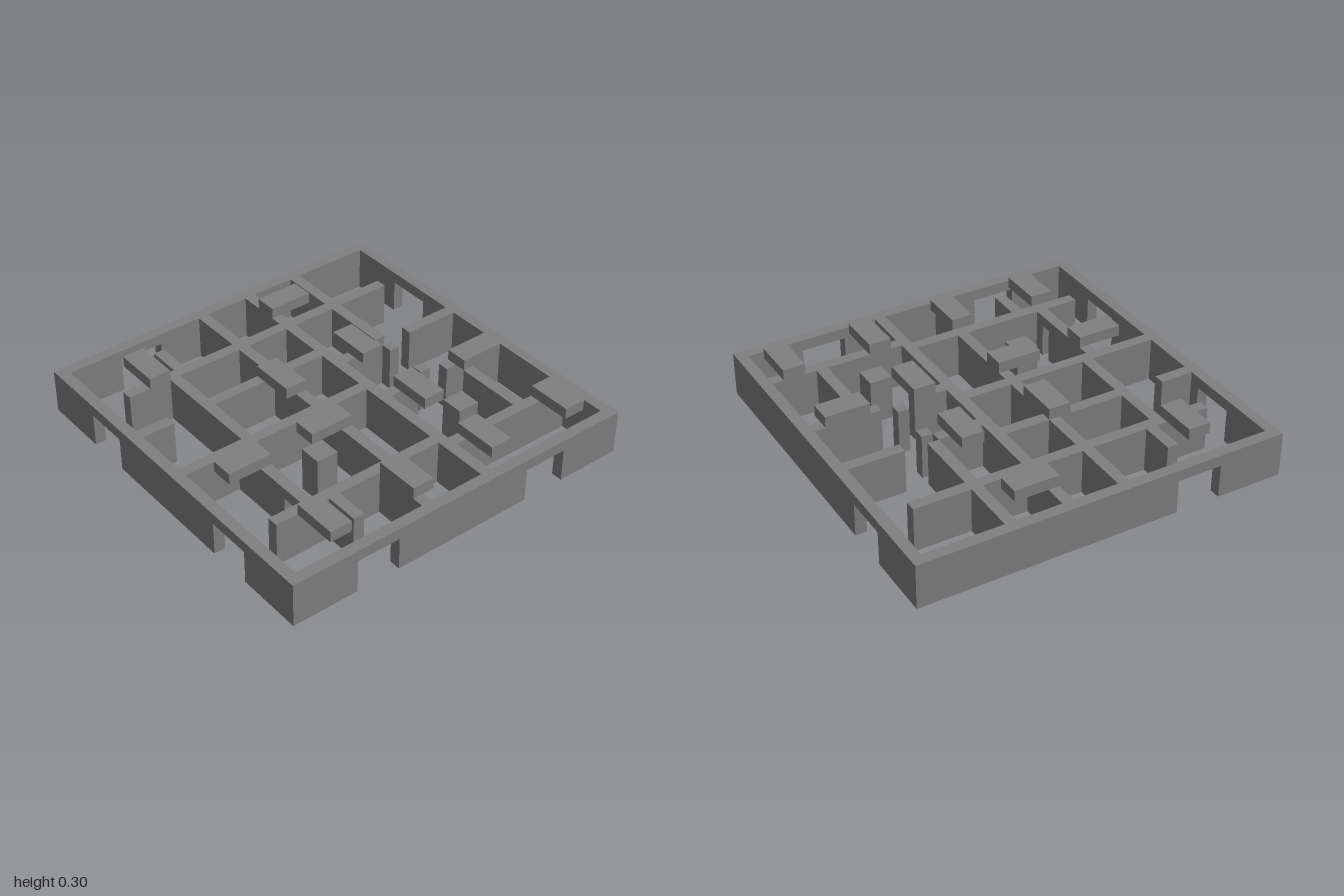
import * as THREE from 'three';

const U = 2 / 33; // plan grid cell

export function createModel() {
  const group = new THREE.Group();
  group.name = 'roomMaze';
  const grey = new THREE.MeshStandardMaterial({ color: 0x808080 });
  grey.name = 'grey';

  // Box spanning grid lines x0..x1, z0..z1 and heights y0..y1
  function box(name, x0, x1, z0, z1, y0 = 0, y1 = 4) {
    const m = new THREE.Mesh(new THREE.BoxGeometry((x1 - x0) * U, (y1 - y0) * U, (z1 - z0) * U), grey);
    m.position.set(((x0 + x1) / 2) * U - 1, ((y0 + y1) / 2) * U, ((z0 + z1) / 2) * U - 1);
    m.name = name;
    group.add(m);
  }

  // One-cell-thick wall from a to b at line c; doors leave a lintel above
  function wall(name, axis, c, a, b, doors = []) {
    const put = (n, s, e, y0) => (axis === 'x' ? box(n, s, e, c, c + 1, y0) : box(n, c, c + 1, s, e, y0));
    let start = a;
    for (const [d0, d1] of doors) {
      put(name, start, d0, 0);
      put(name + 'Lintel', d0, d1, 3);
      start = d1;
    }
    put(name, start, b, 0);
  }

  // Outer walls with doorways
  const low = [6, 10], high = [23, 27];
  wall('backWall', 'x', 0, 0, 33, [low]);
  wall('frontWall', 'x', 32, 0, 33, [low, high]);
  wall('rightWall', 'z', 0, 1, 32, [high]);
  wall('leftWall', 'z', 32, 1, 32, [low, high]);

  // Inner walls running along x: [line, start, end, doors]
  for (const [c, a, b, doors] of [
    [5, 21, 27], [8, 1, 13], [8, 14, 15], [8, 18, 19], [13, 1, 32],
    [18, 1, 27], [19, 27, 32], [25, 7, 17], [26, 18, 26, [[24, 25]]],
    [24, 3, 6], [24, 27, 30],
  ]) wall('crossWall', 'x', c, a, b, doors);

  // Inner walls running along z
  for (const [c, a, b] of [
    [6, 3, 30], [13, 1, 6], [13, 9, 13], [19, 1, 7], [19, 10, 13], [27, 1, 13],
    [11, 14, 25], [11, 29, 32], [17, 14, 32], [26, 14, 30],
  ]) wall('longWall', 'z', c, a, b);

  // Free-standing pillars
  box('pillar', 21, 23, 21, 23);
  box('pillar', 23, 25, 8, 10);

  // Slabs resting on the wall tops: [x, z] corner, lying along x or z
  for (const [x, z] of [[3, 26], [11, 10], [11, 18], [19, 10], [27, 2], [27, 10], [27, 18], [27, 26]])
    box('roofSlab', x, x + 4, z, z + 2, 4, 5);
  for (const [x, z] of [[3, 10], [19, 2], [19, 18], [19, 26]])
    box('roofSlab', x, x + 2, z, z + 4, 4, 5);

  return group;
}
